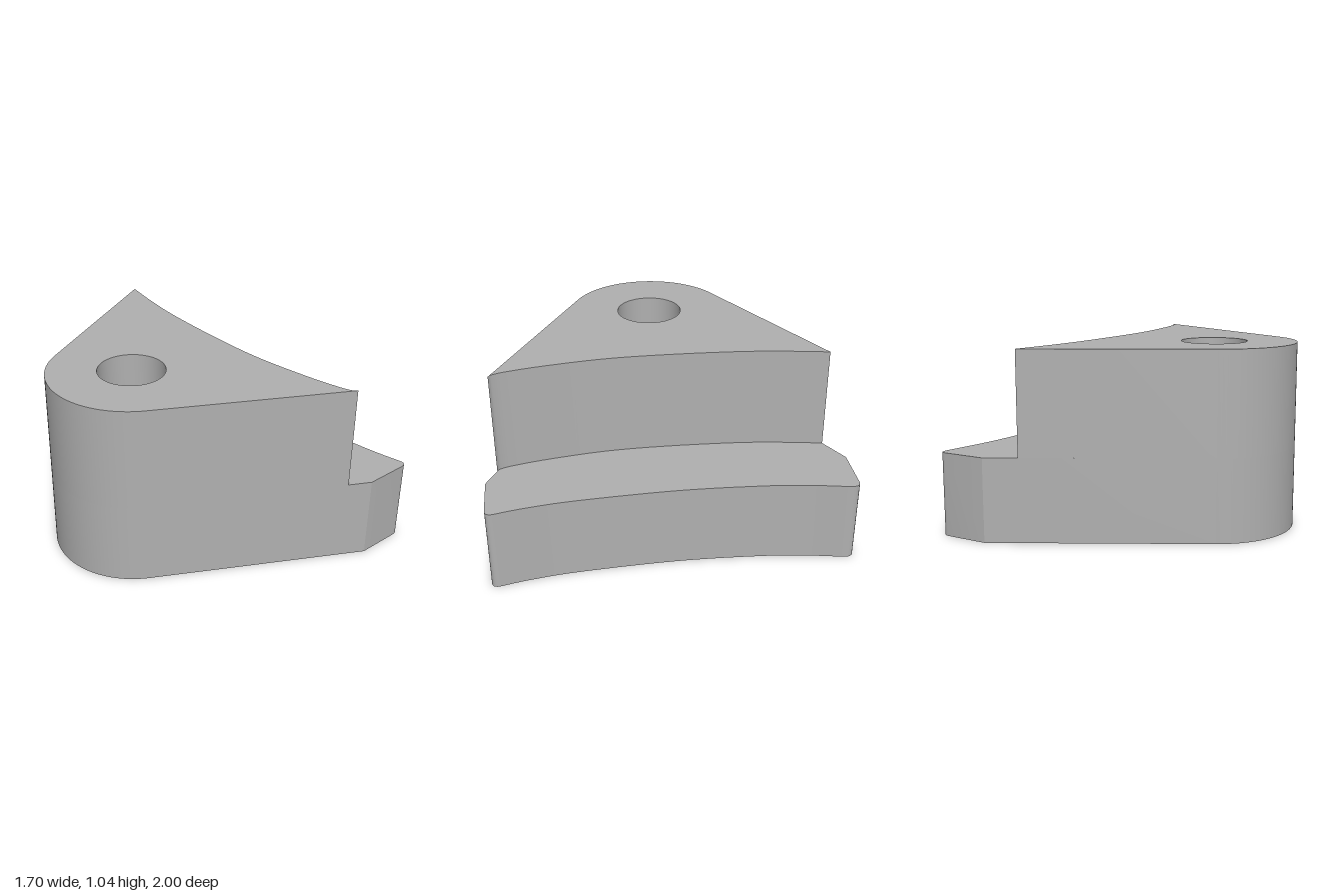
import * as THREE from 'three';
import { mergeGeometries, toCreasedNormals } from 'three/addons/utils/BufferGeometryUtils.js';

const LEDGE_Y = 0.465, TOP_Y = 1.04;
const v = (x, z) => new THREE.Vector2(x, -z); // plan coordinates, drawn with y = -z
const smooth = (pts, n) => new THREE.SplineCurve(pts.map(p => v(...p))).getPoints(n);
const corner = (a, b, c) => new THREE.QuadraticBezierCurve(v(...a), v(...b), v(...c)).getPoints(6);

// Rounded nose around the bore
function nose() {
  const pts = [], a0 = THREE.MathUtils.degToRad(123.3), a1 = THREE.MathUtils.degToRad(246.7);
  for (let i = 0; i <= 40; i++) {
    const a = a0 + (a1 - a0) * i / 40;
    pts.push(new THREE.Vector2(-0.39 + 0.461 * Math.cos(a), -0.085 + 0.461 * Math.sin(a)));
  }
  return pts;
}

function withBore(points) {
  const shape = new THREE.Shape(points);
  shape.holes.push(new THREE.Path().absarc(-0.39, -0.085, 0.185, 0, Math.PI * 2, true));
  return shape;
}

// Side faces only, between two heights
function walls(shape, y0, y1) {
  const g = new THREE.ExtrudeGeometry(shape, { depth: y1 - y0, bevelEnabled: false, curveSegments: 32 });
  const side = g.groups[1], out = new THREE.BufferGeometry();
  for (const name of ['position', 'normal', 'uv']) {
    const a = g.attributes[name], n = a.itemSize;
    out.setAttribute(name, new THREE.BufferAttribute(
      a.array.slice(side.start * n, (side.start + side.count) * n), n));
  }
  return toCreasedNormals(out.rotateX(-Math.PI / 2).translate(0, y0, 0), 0.4);
}

// Flat face at one height, facing up or down
function cap(shape, y, up = true) {
  const g = new THREE.ShapeGeometry(shape, 32).toNonIndexed();
  if (!up) {
    const p = g.attributes.position, n = g.attributes.normal;
    for (let i = 0; i < p.count; i += 3) {
      const x = p.getX(i), yy = p.getY(i);
      p.setXY(i, p.getX(i + 1), p.getY(i + 1));
      p.setXY(i + 1, x, yy);
    }
    for (let i = 0; i < n.count; i++) n.setXYZ(i, 0, 0, -1);
  }
  return g.rotateX(-Math.PI / 2).translate(0, y, 0);
}

export function createModel() {
  const grey = new THREE.MeshStandardMaterial({ color: 0xb0b0b0 });
  grey.name = 'plain grey';

  // Concave step face, front to back
  const step = smooth([[0.437, 0.943], [0.415, 0.925], [0.383, 0.855], [0.325, 0.66], [0.256, 0.343],
    [0.22, 0], [0.203, -0.396], [0.212, -0.65], [0.232, -0.876]], 48);

  // Outer end of the ledge: blunt corners and a concave outer face
  const rim = [
    v(0.56, 0.995),
    ...corner([0.81, 0.973], [0.855, 0.968], [0.844, 0.926]),
    ...smooth([[0.844, 0.926], [0.797, 0.767], [0.742, 0.503], [0.675, -0.026], [0.654, -0.476],
      [0.66, -0.72], [0.682, -0.935]], 40).slice(1),
    ...corner([0.682, -0.935], [0.69, -1], [0.645, -1]).slice(1),
    v(0.39, -0.98),
  ];

  const baseShape = withBore([...nose(), ...rim]);
  const bodyShape = withBore([...nose(), ...step]);
  const ledgeShape = new THREE.Shape([step[0], ...rim, ...step.slice(1).reverse()]);

  const group = new THREE.Group();
  group.name = 'steppedBlock';
  const add = (name, parts) => {
    const mesh = new THREE.Mesh(mergeGeometries(parts), grey);
    mesh.name = name;
    group.add(mesh);
  };

  // Wide lower half with its exposed ledge
  add('base', [walls(baseShape, 0, LEDGE_Y), cap(baseShape, 0, false), cap(ledgeShape, LEDGE_Y)]);
  // Narrower upper half
  add('upperBody', [walls(bodyShape, LEDGE_Y, TOP_Y), cap(bodyShape, TOP_Y)]);
  return group;
}
